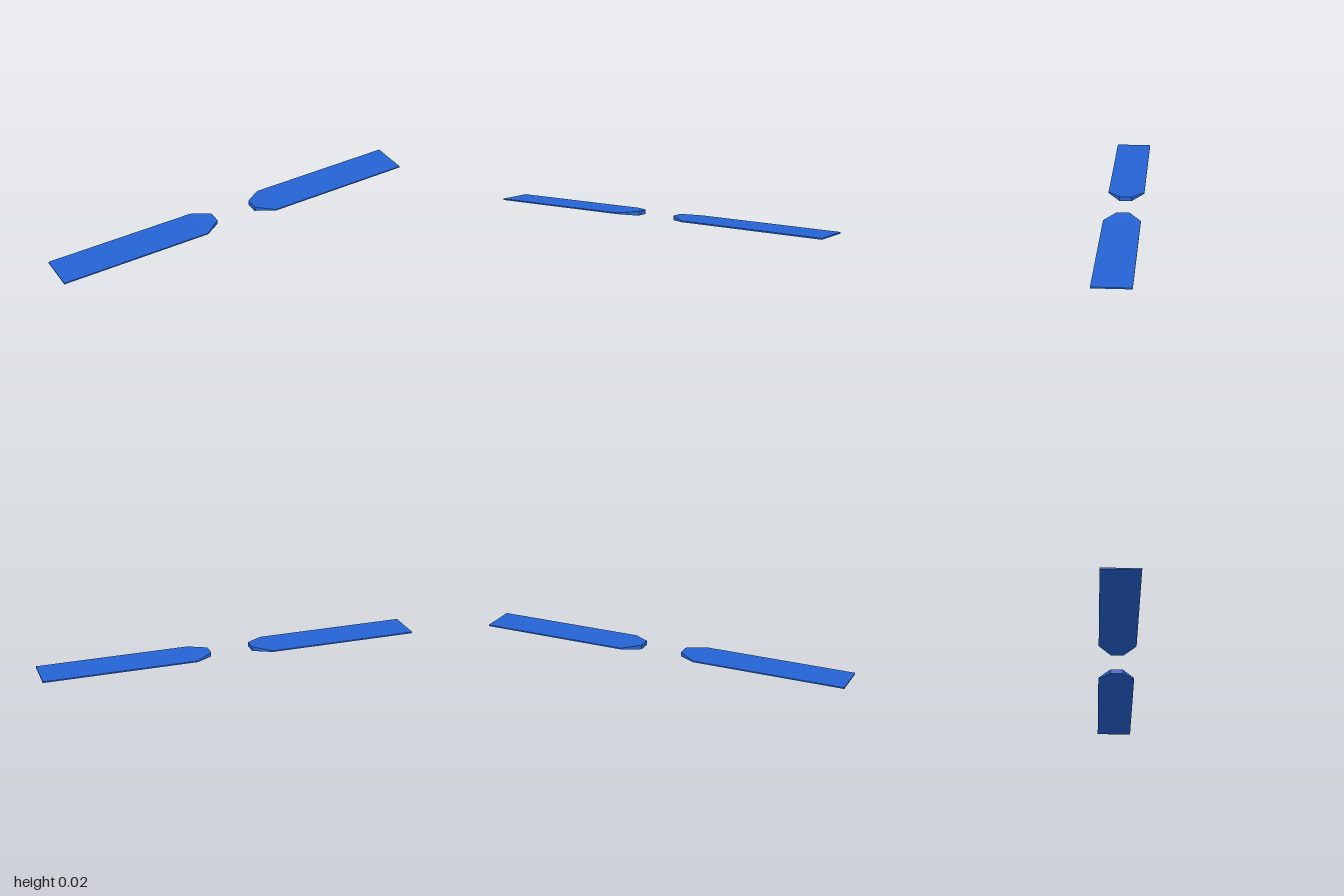
import * as THREE from 'three';

// Blade cross-sections from root to tip: x, half height, half depth
const SECTIONS = [
  [0.112, 0.0115, 0.033],
  [0.203, 0.0035, 0.096],
  [1.0, 0.0035, 0.096],
];

// Segmented box whose slices are moved onto the cross-sections
function bladeGeometry() {
  const geometry = new THREE.BoxGeometry(2, 2, 2, SECTIONS.length - 1, 1, 1);
  const p = geometry.attributes.position;
  for (let i = 0; i < p.count; i++) {
    const [x, halfY, halfZ] = SECTIONS[Math.round(p.getX(i) + 1)];
    p.setXYZ(i, x, Math.sign(p.getY(i)) * halfY, Math.sign(p.getZ(i)) * halfZ);
  }
  geometry.computeVertexNormals();
  return geometry;
}

export function createModel() {
  const model = new THREE.Group();
  model.name = 'rotorBlades';
  const material = new THREE.MeshStandardMaterial({ color: 0x2563d4, flatShading: true });
  const geometry = bladeGeometry();

  // Two opposite blades, half a turn apart around the open hub
  ['leftBlade', 'rightBlade'].forEach((name, i) => {
    const blade = new THREE.Mesh(geometry, material);
    blade.name = name;
    blade.position.y = 0.0115;
    blade.rotation.y = i * Math.PI;
    model.add(blade);
  });
  return model;
}
